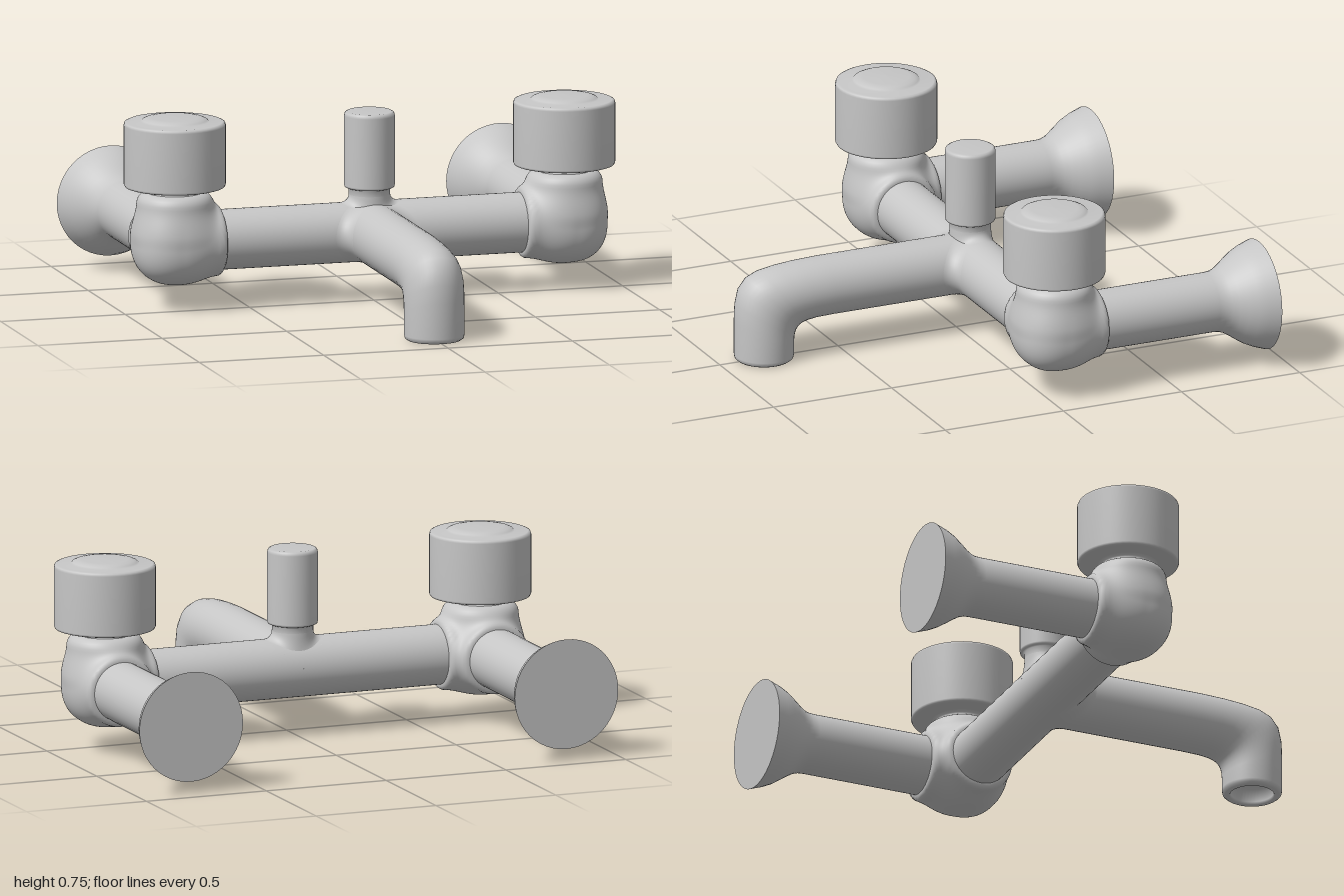
import * as THREE from 'three';

const AXIS_Y = 0.261, AXIS_Z = -0.06, R = 0.117, VALVE_X = 0.783;

export function createModel() {
  const metal = new THREE.MeshStandardMaterial({ color: 0xc6c6c6, side: THREE.DoubleSide });
  metal.name = 'satin light grey metal';
  const model = new THREE.Group();
  model.name = 'wallMixerTap';

  const add = (name, geometry, parent = model) => {
    const mesh = new THREE.Mesh(geometry, metal);
    mesh.name = name;
    parent.add(mesh);
    return mesh;
  };
  const lathe = (pts) => new THREE.LatheGeometry(pts.map(([r, y]) => new THREE.Vector2(r, y)), 48);

  // Surface through a grid of points, rows optionally closed into rings
  const loft = (rows, closed) => {
    const n = rows[0].length, index = [];
    for (let i = 0; i < rows.length - 1; i++) {
      for (let j = 0; j < (closed ? n : n - 1); j++) {
        const k = (j + 1) % n, a = i * n + j, b = i * n + k;
        index.push(a, a + n, b, b, a + n, b + n);
      }
    }
    const g = new THREE.BufferGeometry();
    g.setAttribute('position', new THREE.Float32BufferAttribute(rows.flat(2), 3));
    g.setIndex(index);
    g.computeVertexNormals();
    return g;
  };
  // Rings of points: count rows of n, each given by fn(row fraction, angle)
  const rings = (count, n, fn) => Array.from({ length: count + 1 }, (_, i) =>
    Array.from({ length: n }, (_, j) => fn(i / count, j / n * Math.PI * 2)));

  // Crossbar between the two valves
  const bar = new THREE.CylinderGeometry(R, R, 1.3, 48, 1, true);
  bar.rotateZ(Math.PI / 2);
  add('crossbar', bar).position.set(0, AXIS_Y, AXIS_Z);

  // Spout: [outer z, outer y, inner z, inner y, half width]
  const sections = [
    [-0.06, 0.378, -0.06, 0.144, R], [0.3, 0.378, 0.3, 0.144, R], [0.57, 0.378, 0.54, 0.144, R],
    [0.68, 0.374, 0.61, 0.142, R], [0.76, 0.367, 0.645, 0.137, R], [0.83, 0.355, 0.667, 0.13, R],
    [0.88, 0.333, 0.681, 0.12, R], [0.913, 0.291, 0.69, 0.106, R], [0.927, 0.23, 0.695, 0.09, R],
    [0.93, 0.16, 0.697, 0.07, R], [0.93, 0.02, 0.697, 0.02, R], [0.927, 0.007, 0.7, 0.007, 0.114],
    [0.918, 0, 0.709, 0, 0.105], [0.9, 0, 0.727, 0, 0.087], [0.896, 0.01, 0.731, 0.01, 0.083],
    [0.893, 0.06, 0.734, 0.06, 0.08], [0.8135, 0.062, 0.8135, 0.062, 0],
  ];
  add('spout', loft(sections.map(([oz, oy, iz, iy, w]) =>
    Array.from({ length: 40 }, (_, j) => {
      const t = j / 40 * Math.PI * 2, c = Math.cos(t) / 2;
      return [w * Math.sin(t), (oy + iy) / 2 + (oy - iy) * c, (oz + iz) / 2 + (oz - iz) * c];
    })), true));

  // Concave fillets where the spout meets the crossbar
  for (const side of [1, -1]) {
    const f = 0.05, rows = [];
    for (let i = 0; i <= 24; i++) {
      const t = (i / 24 - 0.5) * Math.PI, w = R * Math.cos(t), row = [];
      for (let j = 0; j <= 8; j++) {
        const a = (side > 0 ? j : 8 - j) / 8 * Math.PI / 2;
        row.push([side * (w + f - f * Math.cos(a)), AXIS_Y + R * Math.sin(t),
          AXIS_Z + w + f - f * Math.sin(a)]);
      }
      rows.push(row);
    }
    add('spoutFillet', loft(rows, false));
  }

  // Saddle blending the diverter neck into the crossbar
  add('diverterSaddle', loft(rings(10, 48, (u, t) => {
    const a = u * Math.PI / 2, r = 0.08 + 0.036 * (1 - Math.cos(a));
    const base = AXIS_Y + Math.sqrt(R * R - (0.116 * Math.cos(t)) ** 2);
    return [r * Math.sin(t), 0.408 - (0.408 - base) * Math.sin(a), AXIS_Z + r * Math.cos(t)];
  }), true));

  // Diverter button
  add('diverter', lathe([
    [0.08, 0.405], [0.08, 0.433], [0.09, 0.434], [0.096, 0.437], [0.098, 0.444],
    [0.098, 0.716], [0.095, 0.727], [0.086, 0.732], [0, 0.732],
  ])).position.z = AXIS_Z;

  // Valve body: a swelled ball blended smoothly into three collars
  const smin = (a, b, k) => Math.min(a, b) - Math.max(k - Math.abs(a - b), 0) ** 2 / (4 * k);
  const stub = (along, radial, length, radius, edge) => {
    const p = radial - radius + edge, q = Math.max(along - length, -along) + edge;
    return Math.min(Math.max(p, q), 0) + Math.hypot(Math.max(p, 0), Math.max(q, 0)) - edge;
  };
  const bodyField = (x, y, z) => {
    const e = 2.4;
    const ball = (Math.abs(x) ** e + Math.abs(y) ** e + Math.abs(z) ** e) ** (1 / e) - 0.163;
    const toBar = stub(-x, Math.hypot(y, z), 0.178, 0.14, 0.02);
    const toWall = stub(-z, Math.hypot(x, y), 0.178, 0.14, 0.02);
    const toHandle = stub(y, Math.hypot(x, z), 0.198, 0.148, 0.045);
    return smin(smin(smin(ball, toBar, 0.04), toWall, 0.04), toHandle, 0.04);
  };
  const bodyGeometry = (side) => loft(rings(72, 96, (u, t) => {
    const s = Math.sin(u * Math.PI), x = s * Math.sin(t), y = Math.cos(u * Math.PI), z = s * Math.cos(t);
    let near = 0, far = 0.4;
    for (let i = 0; i < 24; i++) {
      const m = (near + far) / 2;
      if (bodyField(side * x * m, y * m, z * m) < 0) near = m; else far = m;
    }
    return [x * near, y * near, z * near];
  }), true);

  // Valves, handles and wall pipes, mirrored left and right
  for (const side of [1, -1]) {
    const valve = new THREE.Group();
    valve.name = side > 0 ? 'leftValve' : 'rightValve';
    valve.position.set(side * VALVE_X, 0, AXIS_Z);
    model.add(valve);

    add('valveBody', bodyGeometry(side), valve).position.y = AXIS_Y;

    // Neck under the handle
    add('valveNeck', lathe([
      [0.118, 0.45], [0.108, 0.458], [0.105, 0.465], [0.107, 0.472], [0.116, 0.479], [0.13, 0.482],
    ]), valve);

    // Cylindrical handle with a raised button on top
    add('handle', lathe([
      [0, 0.479], [0.184, 0.479], [0.193, 0.482], [0.197, 0.49], [0.197, 0.722], [0.194, 0.731],
      [0.185, 0.735], [0.132, 0.736], [0.126, 0.742], [0.112, 0.748], [0.09, 0.752], [0, 0.754],
    ]), valve);

    // Wall pipe flaring into a closed flange
    const pipe = add('wallPipe', lathe([
      [R, 0.1], [R, 0.65], [0.119, 0.675], [0.127, 0.7], [0.142, 0.725], [0.161, 0.752],
      [0.183, 0.785], [0.2, 0.82], [0.216, 0.867], [0.216, 0.867], [0, 0.867],
    ]), valve);
    pipe.position.y = AXIS_Y;
    pipe.rotation.x = -Math.PI / 2;
  }
  return model;
}
